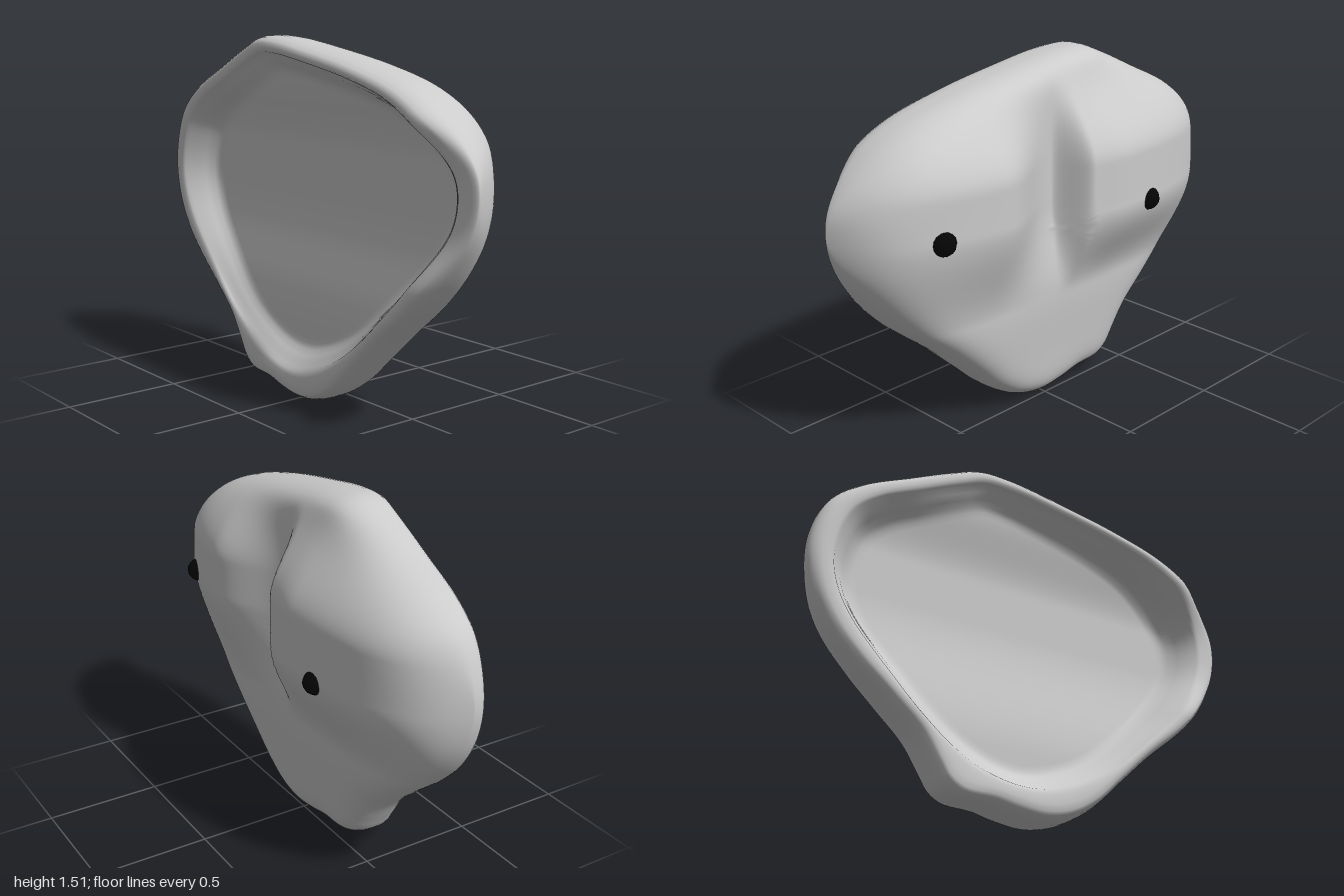
import * as THREE from 'three';
import { mergeVertices } from 'three/addons/utils/BufferGeometryUtils.js';

const smooth = (a, b, v) => THREE.MathUtils.smoothstep(v, a, b);
const lerp = THREE.MathUtils.lerp;
const CY = 0.8; // height of the point the outline is scaled about

// side outline as (z, y)
const outlinePoints = [
  [1, 0.95], [0.99, 1.05], [0.93, 1.15], [0.8, 1.27], [0.65, 1.35], [0.4, 1.42], [0.1, 1.475],
  [-0.15, 1.51], [-0.28, 1.51], [-0.4, 1.465], [-0.6, 1.37], [-0.8, 1.27], [-0.92, 1.17],
  [-0.98, 1.04], [-1, 0.9], [-0.97, 0.75], [-0.9, 0.62], [-0.8, 0.51], [-0.65, 0.38],
  [-0.52, 0.26], [-0.44, 0.14], [-0.4, 0.08], [-0.34, 0.045], [-0.2, 0.035], [-0.1, 0.015],
  [0.03, 0.003], [0.15, 0.03], [0.27, 0.1], [0.4, 0.22], [0.55, 0.36], [0.75, 0.53],
  [0.88, 0.68], [0.97, 0.83],
];

// relief of the domed face: two cheeks divided by a groove
function relief(z, y) {
  const rear = 0.15 * (1 - smooth(-0.08, 0.02, z)) + 0.035 * (1 - smooth(-0.28, -0.03, z));
  const fore = 0.16 * smooth(0.01, 0.42, z);
  const rearY = smooth(0.5, 0.88, y) * (1 - smooth(1.08, 1.46, y));
  const foreY = smooth(0.5, 0.94, y) * (1 - smooth(1.1, 1.46, y));
  const belly = 0.035 * smooth(0.1, 0.55, y) * (1 - smooth(0.55, 0.9, y));
  return 0.055 + belly + rear * rearY + fore * foreY;
}

// widest line of the side wall, back rim, and floor of the hollow
const middle = (z) => -0.1 - 0.05 * smooth(0.5, 1, z);
const rim = (z) => -0.212 - 0.04 * z - 0.012 * smooth(-0.45, 0, z) + 0.1 * smooth(0.78, 1.04, z);
const floor = (y) => -0.12 + 0.07 * smooth(0.3, 0.85, y) * (1 - smooth(1.05, 1.4, y));

function shellGeometry() {
  const segs = 240, frontRings = 56, floorRings = 30;
  const curve = new THREE.CatmullRomCurve3(
    outlinePoints.map(([z, y]) => new THREE.Vector3(0, y, z)), true);
  const outline = curve.getSpacedPoints(segs).slice(0, segs);

  // rounder outline for the hollow, averaged along the lower edge
  const hollow = outline.map((p, j) => {
    const mean = new THREE.Vector3();
    const reach = 20;
    for (let k = -reach; k <= reach; k++) mean.add(outline[(j + k + segs) % segs]);
    mean.divideScalar(2 * reach + 1);
    return p.clone().lerp(mean, 1 - smooth(0.1, 0.9, p.y));
  });

  // each ring: scale, a rule for x, and the share of the hollow outline
  const rings = [];
  for (let i = 0; i <= frontRings; i++) {
    const s = Math.sin((i / frontRings) * Math.PI / 2);
    rings.push([s, (z, y, ez) => {
      const tip = Math.sqrt(Math.max(0, 1 - Math.abs(z) ** 3));
      return lerp(middle(ez), relief(z, y), tip * Math.sqrt(1 - s ** 16));
    }, 0]);
  }
  // side wall and rounded rim
  for (const [s, k, share] of [[1, 0.3, 0], [0.997, 0.5, 0], [0.988, 0.72, 0], [0.972, 0.9, 0],
    [0.955, 0.98, 0], [0.935, 1, 0.2], [0.918, 0.98, 0.65], [0.905, 0.9, 0.9]]) {
    rings.push([s, (z, y, ez) => lerp(middle(ez), rim(ez), k), share]);
  }
  // hollow back: inner wall blending into the floor
  for (let i = 0; i <= floorRings; i++) {
    const s = 0.897 * (1 - i / floorRings);
    const blend = smooth(0, 0.13, 0.91 - s);
    rings.push([s, (z, y, ez) => lerp(lerp(middle(ez), rim(ez), 0.78), floor(y), blend), 1]);
  }

  const pos = [], index = [];
  rings.forEach(([s, xAt, share], i) => {
    outline.forEach((p, j) => {
      const q = p.clone().lerp(hollow[j], share);
      const z = q.z * s, y = CY + (q.y - CY) * s;
      pos.push(xAt(z, y, p.z), y, z);
      if (i === rings.length - 1) return;
      const a = i * segs + j, d = i * segs + (j + 1) % segs;
      const b = a + segs, c = d + segs;
      if (i > 0) index.push(a, d, c);
      if (i < rings.length - 2) index.push(a, c, b);
    });
  });
  const g = new THREE.BufferGeometry();
  g.setAttribute('position', new THREE.Float32BufferAttribute(pos, 3));
  g.setIndex(index);
  const merged = mergeVertices(g, 1e-5);
  merged.computeVertexNormals();
  return merged;
}

export function createModel() {
  const group = new THREE.Group();
  group.name = 'hollowMask';

  const shell = new THREE.Mesh(shellGeometry(),
    new THREE.MeshStandardMaterial({ color: 0xcccccc, side: THREE.DoubleSide }));
  shell.name = 'shell';
  group.add(shell);

  // small dark beads, one on each cheek
  const black = new THREE.MeshStandardMaterial({ color: 0x050505 });
  for (const [name, x, y, z] of [['foreBead', 0.14, 0.94, 0.68], ['rearBead', 0.21, 0.86, -0.42]]) {
    const bead = new THREE.Mesh(new THREE.SphereGeometry(0.05, 12, 8), black);
    bead.name = name;
    bead.position.set(x, y, z);
    group.add(bead);
  }
  return group;
}
